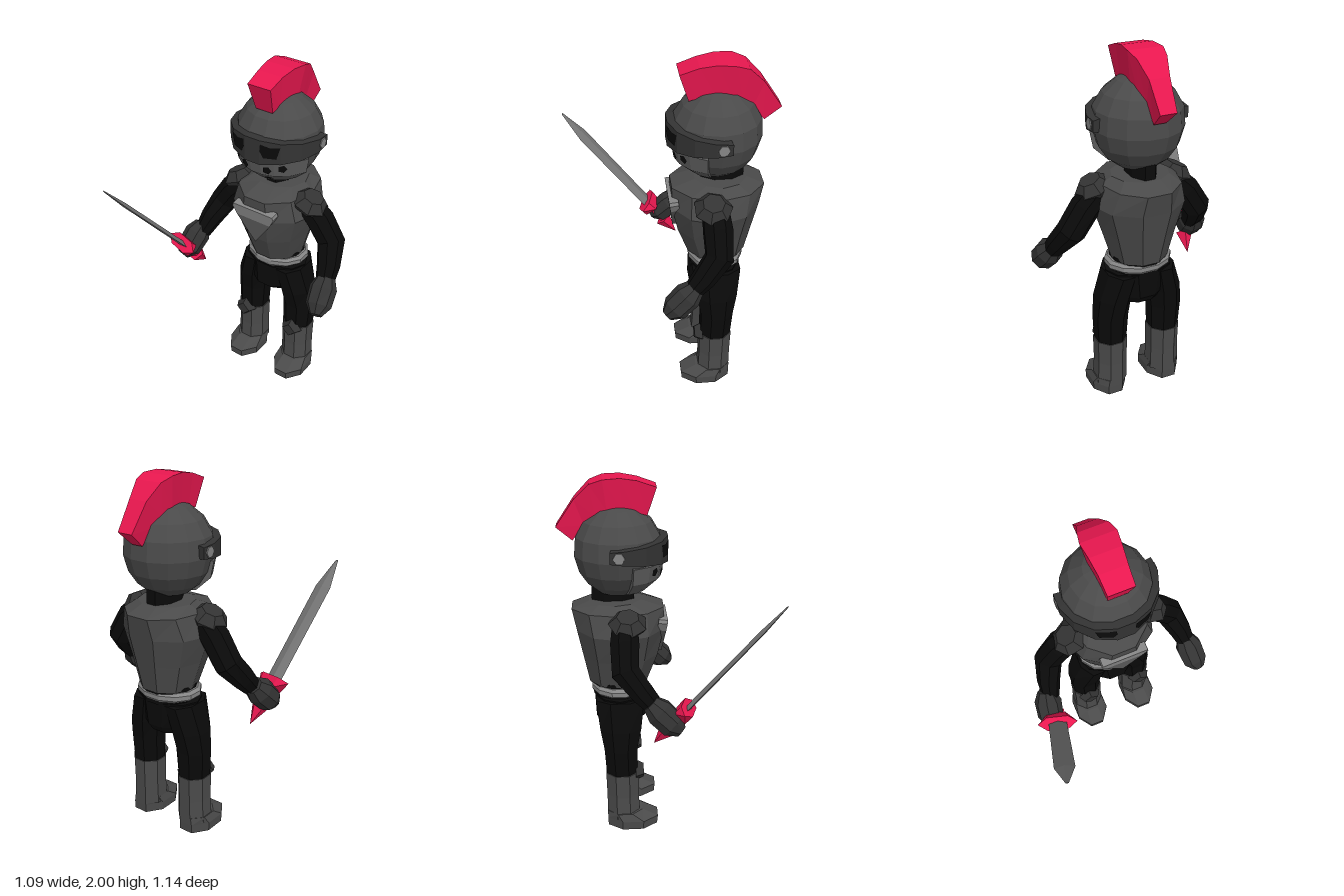
import * as THREE from 'three';
import { ConvexGeometry } from 'three/addons/geometries/ConvexGeometry.js';

const V = (x, y, z) => new THREE.Vector3(x, y, z);
const mat = (color) => new THREE.MeshStandardMaterial({ color, flatShading: true });

// Skin a list of point rings, closing both ends with fans
function loft(rings) {
  const pos = [];
  const tri = (...p) => p.forEach((v) => pos.push(v.x, v.y, v.z));
  const n = rings[0].length;
  for (let i = 0; i < rings.length - 1; i++) {
    for (let j = 0; j < n; j++) {
      const k = (j + 1) % n, a = rings[i], b = rings[i + 1];
      tri(a[j], a[k], b[k]);
      tri(a[j], b[k], b[j]);
    }
  }
  const cap = (ring, flip) => {
    const c = ring.reduce((s, p) => s.add(p), V(0, 0, 0)).divideScalar(n);
    ring.forEach((p, j) => (flip ? tri(c, ring[(j + 1) % n], p) : tri(c, p, ring[(j + 1) % n])));
  };
  cap(rings[0], true);
  cap(rings[rings.length - 1], false);
  const g = new THREE.BufferGeometry();
  g.setAttribute('position', new THREE.Float32BufferAttribute(pos, 3));
  g.computeVertexNormals();
  return g;
}

// Upright body from levels [y, centreX, halfWidth, frontZ, backZ], bottom to top
function stack(n, levels) {
  const grow = 1 / Math.cos(Math.PI / n);
  return loft(levels.map(([y, cx, hx, zf, zb]) => Array.from({ length: n }, (_, j) => {
    const t = ((j + 0.5) / n) * Math.PI * 2;
    return V(cx + hx * grow * Math.sin(t), y, (zf + zb) / 2 + ((zf - zb) / 2) * grow * Math.cos(t));
  })));
}

// Round limb along points [x, y, z, radius]
function limb(n, path) {
  const p = path.map(([x, y, z]) => V(x, y, z));
  return loft(p.map((c, i) => {
    const T = p[Math.min(i + 1, p.length - 1)].clone().sub(p[Math.max(i - 1, 0)]).normalize();
    const X = T.clone().cross(V(0, 0, 1)).normalize();
    const Z = X.clone().cross(T);
    return Array.from({ length: n }, (_, j) => {
      const t = ((j + 0.5) / n) * Math.PI * 2, r = path[i][3];
      return c.clone().addScaledVector(X, r * Math.sin(t)).addScaledVector(Z, r * Math.cos(t));
    });
  }));
}

const HEAD_Z = -0.245;
const deg = Math.PI / 180;
// Band around the head: section(angle) gives [radius, y] pairs from inner top outwards and down
const headBand = (angles, section) => loft(angles.map((a) =>
  section(a).map(([r, y]) => V(r * Math.sin(a * deg), y, HEAD_Z + r * Math.cos(a * deg)))));

export function createModel() {
  const model = new THREE.Group();
  model.name = 'knight';
  const body = new THREE.Group();
  body.name = 'body';
  body.position.x = 0.025;
  model.add(body);

  const M = {
    steel: mat(0x4a4a4a), dark: mat(0x333333), mask: mat(0x5c5c5c), light: mat(0x858585),
    blade: mat(0x777777), black: mat(0x0a0a0a), red: mat(0xe8174f),
  };
  const add = (name, geo, m, parent = body) => {
    const mesh = new THREE.Mesh(geo, m);
    mesh.name = name;
    parent.add(mesh);
    return mesh;
  };

  // Helmet
  add('helmet', stack(14, [
    [1.385, 0.11], [1.43, 0.165], [1.5, 0.21], [1.59, 0.234], [1.69, 0.225],
    [1.77, 0.18], [1.83, 0.11], [1.86, 0.03],
  ].map(([y, r]) => [y, 0, r, HEAD_Z + r, HEAD_Z - r])), M.steel);

  // Visor, narrowing towards the ears
  add('visor', headBand([-100, -82, -58, -34, -10, 10, 34, 58, 82, 100], (a) => {
    const k = Math.abs(a) / 100, top = 1.695 - 0.035 * k, low = 1.545 + 0.055 * k;
    return [[0.22, top + 0.005], [0.268, top], [0.268, low], [0.22, low - 0.005]];
  }), M.dark);

  // Face guard below the visor
  add('faceGuard', headBand([-72, -48, -26, -8, 8, 26, 48, 72], () =>
    [[0.2, 1.565], [0.245, 1.56], [0.228, 1.47], [0.145, 1.395], [0.1, 1.395]]), M.mask);

  // Flat dark openings laid on the helmet
  const opening = (name, geo, angle, r, y, tilt) => {
    const o = add(name, geo, M.black);
    o.position.set(r * Math.sin(angle * deg), y, HEAD_Z + r * Math.cos(angle * deg));
    o.rotation.set(tilt, angle * deg, 0, 'YXZ');
  };
  for (const s of [-1, 1]) {
    const eye = new THREE.Shape([[-0.052, 0.038], [-0.055, -0.002], [-0.035, -0.04], [0.035, -0.04],
      [0.045, -0.005], [0.055, 0.03], [0, 0.022]].map(([x, y]) => new THREE.Vector2(x * s, y)));
    opening('eyeSlot', new THREE.ShapeGeometry(eye), 22 * s, 0.266, 1.635, 0);
    for (const [a, r, y, tilt] of [[37, 0.237, 1.52, 0.18], [17, 0.237, 1.505, 0.18], [17, 0.194, 1.437, 0.83]]) {
      opening('breathHole', new THREE.CircleGeometry(0.026, 5), a * s, r, y, tilt);
    }
    // Visor pivot
    const pivot = add('visorPivot', new THREE.CylinderGeometry(0.03, 0.042, 0.05, 6), M.light);
    pivot.position.set(s * 0.245, 1.63, -0.245);
    pivot.rotation.z = -s * Math.PI / 2;
  }

  // Crest: [outerZ, outerY, innerZ, innerY, half width]
  add('crest', loft([
    [-0.04, 1.95, -0.09, 1.8, 0.07], [-0.14, 1.985, -0.15, 1.82, 0.075], [-0.23, 2.0, -0.22, 1.835, 0.085],
    [-0.32, 1.995, -0.3, 1.83, 0.095], [-0.39, 1.97, -0.36, 1.8, 0.08], [-0.47, 1.89, -0.42, 1.75, 0.055],
    [-0.57, 1.745, -0.485, 1.67, 0.045],
  ].map(([zo, yo, zi, yi, w]) =>
    [V(-w * 0.75, yi, zi), V(-w, yo, zo), V(w, yo, zo), V(w * 0.75, yi, zi)])), M.red);

  // Neck, breastplate, belt and hips
  add('neck', stack(8, [[1.3, 0, 0.07, -0.165, -0.395], [1.42, 0, 0.07, -0.165, -0.395]]), M.black);
  add('breastplate', stack(10, [
    [0.86, 0, 0.15, -0.1, -0.42], [1.02, 0, 0.195, -0.04, -0.45], [1.18, 0, 0.245, -0.005, -0.48],
    [1.3, 0, 0.205, -0.005, -0.505], [1.34, 0, 0.15, -0.13, -0.41],
  ]), M.steel);
  add('waist', stack(12, [[0.78, 0, 0.15, -0.12, -0.4], [0.875, 0, 0.155, -0.11, -0.41]]), M.black);
  add('belt', stack(12, [
    [0.8, 0, 0.165, -0.115, -0.4], [0.815, 0, 0.182, -0.105, -0.41], [0.84, 0, 0.182, -0.105, -0.41],
    [0.855, 0, 0.165, -0.115, -0.4],
  ]), M.light);
  add('hips', stack(10, [
    [0.595, 0, 0.12, -0.16, -0.36], [0.64, 0, 0.14, -0.11, -0.39], [0.79, 0, 0.185, -0.115, -0.395],
  ]), M.black);

  // Chest ornament: light bar over a downward triangle
  const plate = (name, pts, m) => {
    const shape = new THREE.Shape(pts.map(([x, y]) => new THREE.Vector2(x, y)));
    const o = add(name, new THREE.ExtrudeGeometry(shape, { depth: 0.05, bevelEnabled: false }), m);
    o.position.set(0, 1.25, -0.035);
    o.rotation.x = 0.13;
  };
  plate('chestBar', [[-0.11, -0.07], [0.11, -0.07], [0.135, -0.02], [0.13, 0], [-0.13, 0], [-0.135, -0.02]], M.light);
  plate('chestTriangle', [[0, -0.23], [0.11, -0.07], [-0.11, -0.07]], M.mask);

  // Paired limbs
  for (const s of [-1, 1]) {
    add('shoulderGuard', limb(7, [
      [s * 0.225, 1.245, -0.205, 0.09], [s * 0.235, 1.27, -0.205, 0.105], [s * 0.255, 1.315, -0.205, 0.06],
    ]), M.dark);
    add('arm', limb(8, [
      [s * 0.19, 1.27, -0.22, 0.07], [s * 0.29, 1.17, -0.225, 0.082], [s * 0.37, 1.05, -0.225, 0.08],
      [s * 0.41, 0.95, -0.14, 0.066], [s * 0.43, 0.87, -0.07, 0.05],
    ]), M.black);
    const out = s < 0 ? 0.02 : 0;
    add('gauntlet', limb(8, [
      [s * (0.425 + out), 0.905, -0.1, 0.05], [s * (0.435 + out), 0.86, -0.055, 0.078],
      [s * (0.45 + out), 0.79, 0.015, 0.074], [s * (0.463 + out), 0.755, 0.06, 0.035],
    ]), M.dark);
    add('leg', stack(8, [
      [0.33, s * 0.165, 0.084, -0.165, -0.34], [0.5, s * 0.165, 0.093, -0.165, -0.35],
      [0.62, s * 0.15, 0.095, -0.14, -0.37], [0.78, s * 0.11, 0.085, -0.12, -0.39],
    ]), M.black);
    add('boot', stack(8, [
      [0.06, s * 0.167, 0.09, -0.155, -0.342], [0.2, s * 0.165, 0.086, -0.16, -0.342],
      [0.345, s * 0.165, 0.089, -0.158, -0.345],
    ]), M.steel);
    add('foot', stack(8, [
      [0, s * 0.172, 0.1, -0.055, -0.34], [0.05, s * 0.172, 0.102, -0.05, -0.342],
      [0.095, s * 0.169, 0.092, -0.14, -0.342],
    ]), M.steel);
    const knee = add('kneeGuard', new THREE.CylinderGeometry(0.045, 0.07, 0.045, 4), M.dark);
    knee.position.set(s * 0.172, 0.34, -0.152);
    knee.rotation.x = Math.PI / 2;
  }

  // Sword, blade along its own y
  const sword = new THREE.Group();
  sword.name = 'sword';
  const Y = V(-0.09, 0.595, 0.485).normalize();
  const X = V(0.215, 0, 0.07).projectOnPlane(Y).normalize();
  sword.quaternion.setFromRotationMatrix(new THREE.Matrix4().makeBasis(X, Y, X.clone().cross(Y)));
  sword.position.set(-0.425, 0.86, 0.085);
  model.add(sword);
  const section = (y, w, d) => [V(0, y, d), V(w, y, 0), V(0, y, -d), V(-w, y, 0)];
  add('blade', loft([section(0, 0.052, 0.014), section(0.6, 0.054, 0.012), section(0.773, 0.008, 0.003)]),
    M.blade, sword);
  const guard = [];
  for (const a of [-1, 1]) {
    guard.push(V(a * 0.113, 0.02, 0));
    for (const b of [-1, 1]) guard.push(V(a * 0.06, 0.025, b * 0.04), V(a * 0.05, -0.04, b * 0.04));
  }
  add('crossGuard', new ConvexGeometry(guard), M.red, sword);
  add('grip', new THREE.CylinderGeometry(0.025, 0.025, 0.15, 6), M.red, sword).position.y = -0.08;
  const pommel = add('pommel', new THREE.ConeGeometry(0.052, 0.125, 5), M.red, sword);
  pommel.position.y = -0.203;
  pommel.rotation.x = Math.PI;

  return model;
}
